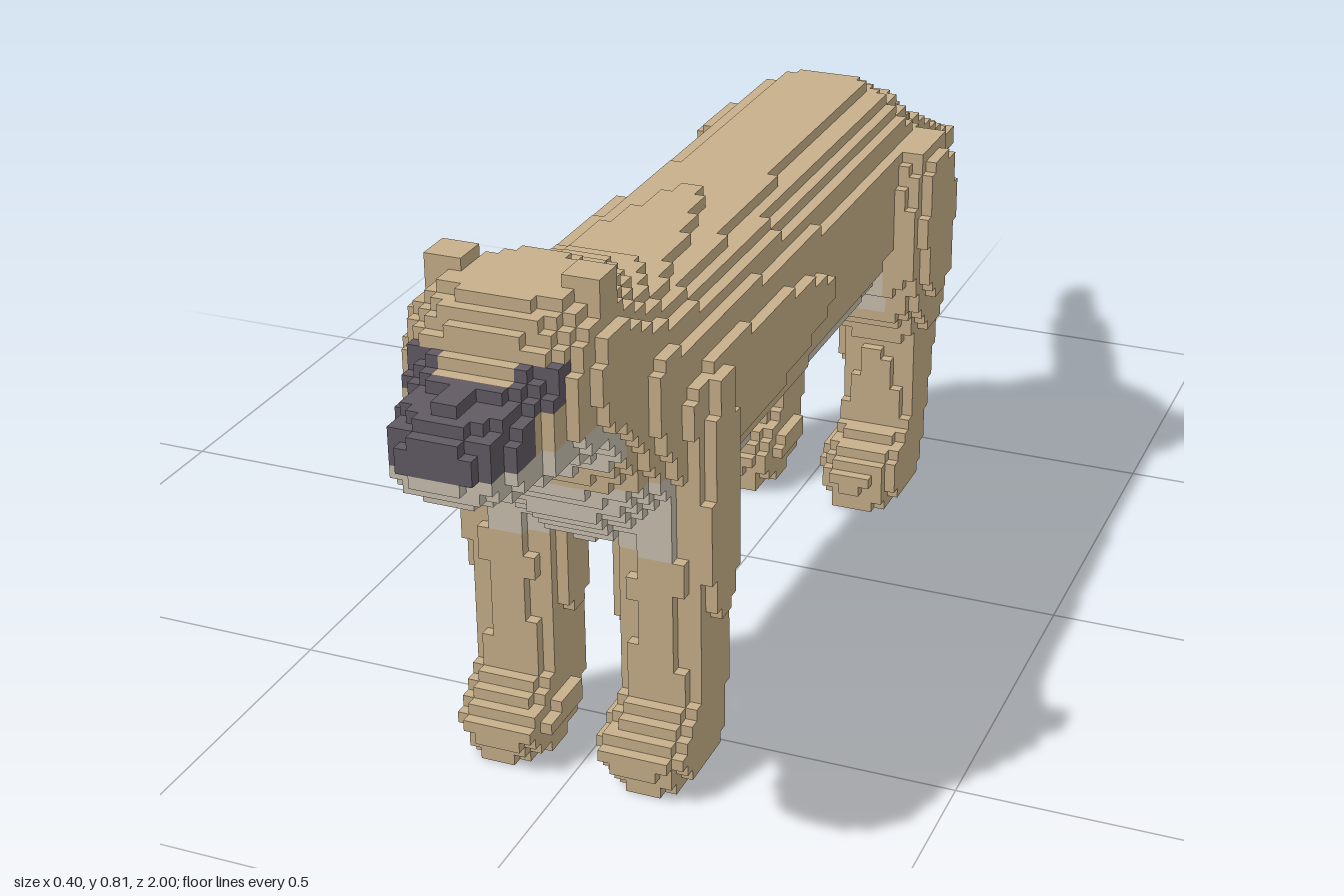
import * as THREE from 'three';

// Voxel grid: 24 x 48 x 119 cubes
const V = 2 / 119, NX = 24, NY = 48, NZ = 119;

// Interpolates a table of cross-sections by its first column
function section(table, t) {
  if (t < table[0][0] || t > table[table.length - 1][0]) return null;
  let i = 1;
  while (table[i][0] < t) i++;
  const a = table[i - 1], b = table[i], f = (t - a[0]) / (b[0] - a[0]);
  return a.map((v, k) => v + (b[k] - v) * f);
}
const superellipse = (a, b, n) => Math.abs(a) ** n + Math.abs(b) ** n <= 1;

// Sections along z: z, top, bottom, half width, squareness
const TRUNK = [
  [-0.49, 0.60, 0.53, 0.045, 2], [-0.45, 0.625, 0.46, 0.11, 2.2], [-0.41, 0.66, 0.40, 0.145, 2.3],
  [-0.34, 0.692, 0.355, 0.153, 2.3], [0, 0.692, 0.353, 0.157, 2.3], [0.3, 0.70, 0.348, 0.167, 2.3],
  [0.5, 0.712, 0.338, 0.17, 2.3], [0.6, 0.745, 0.345, 0.162, 2.1], [0.66, 0.772, 0.41, 0.148, 2.2],
  [0.7, 0.788, 0.475, 0.14, 2.4], [0.75, 0.795, 0.545, 0.137, 2.8], [0.8, 0.793, 0.558, 0.13, 3],
  [0.835, 0.782, 0.558, 0.112, 3], [0.865, 0.74, 0.558, 0.105, 3], [0.885, 0.71, 0.56, 0.09, 3],
  [0.92, 0.695, 0.565, 0.083, 3], [0.97, 0.69, 0.58, 0.07, 2.6], [1, 0.672, 0.61, 0.04, 2.4],
];
// Sections along y: y, front z, back z, inner x, outer x
const FRONT_LEG = [
  [0, 0.655, 0.54, 0.062, 0.152], [0.03, 0.67, 0.495, 0.048, 0.168], [0.06, 0.688, 0.493, 0.038, 0.17],
  [0.09, 0.655, 0.488, 0.042, 0.17], [0.12, 0.612, 0.485, 0.048, 0.17], [0.2, 0.607, 0.485, 0.042, 0.17],
  [0.3, 0.607, 0.485, 0.033, 0.187], [0.5, 0.605, 0.485, 0.033, 0.187], [0.58, 0.57, 0.50, 0.06, 0.182],
];
const HIND_LEG = [
  [0, -0.21, -0.365, 0.062, 0.152], [0.03, -0.203, -0.387, 0.048, 0.168], [0.06, -0.198, -0.392, 0.038, 0.17],
  [0.09, -0.22, -0.397, 0.042, 0.17], [0.12, -0.285, -0.407, 0.048, 0.17], [0.2, -0.30, -0.43, 0.042, 0.17],
  [0.27, -0.303, -0.447, 0.033, 0.174], [0.33, -0.265, -0.428, 0.033, 0.187], [0.4, -0.24, -0.428, 0.033, 0.203],
  [0.5, -0.235, -0.44, 0.03, 0.204], [0.56, -0.25, -0.42, 0.04, 0.203], [0.6, -0.27, -0.40, 0.06, 0.188],
];
// Tail sections: z, top, bottom, half width
const TAIL = [
  [-1, 0.388, 0.354, 0.017], [-0.95, 0.392, 0.354, 0.017], [-0.84, 0.445, 0.395, 0.018],
  [-0.83, 0.45, 0.40, 0.034], [-0.6, 0.55, 0.49, 0.034], [-0.44, 0.615, 0.54, 0.04],
];

function inTrunk(x, y, z) {
  const s = section(TRUNK, z);
  if (!s) return false;
  const [, top, bottom, w, n] = s;
  return superellipse(x / w, (2 * y - top - bottom) / (top - bottom), n);
}
function inLeg(table, x, y, z) {
  const s = section(table, y);
  if (!s) return false;
  const [, front, back, inner, outer] = s;
  return superellipse((2 * Math.abs(x) - inner - outer) / (outer - inner), (2 * z - front - back) / (front - back), 3);
}
function inTail(x, y, z) {
  const s = section(TAIL, z);
  return !!s && y < s[1] && y > s[2] && Math.abs(x) < s[3];
}
const inEar = (x, y, z) => Math.abs(x) > 0.067 && Math.abs(x) < 0.118 && y > 0.72 && y < 0.808 && z > 0.735 && z < 0.785;
const inNose = (x, y, z) => Math.abs(x) < 0.018 && y > 0.66 && y < 0.706 && z > 0.905 && z < 0.96;

// First part to claim a cube owns it
const PARTS = [
  ['leftEar', (x, y, z) => x > 0 && inEar(x, y, z)],
  ['rightEar', (x, y, z) => x < 0 && inEar(x, y, z)],
  ['nose', inNose],
  ['head', (x, y, z) => z > 0.66 && inTrunk(x, y, z)],
  ['torso', inTrunk],
  ['frontLeftLeg', (x, y, z) => x > 0 && inLeg(FRONT_LEG, x, y, z)],
  ['frontRightLeg', (x, y, z) => x < 0 && inLeg(FRONT_LEG, x, y, z)],
  ['hindLeftLeg', (x, y, z) => x > 0 && inLeg(HIND_LEG, x, y, z)],
  ['hindRightLeg', (x, y, z) => x < 0 && inLeg(HIND_LEG, x, y, z)],
  ['tail', inTail],
];

// Coat markings
function colourOf(part, x, y, z) {
  const ax = Math.abs(x);
  if (part === 'nose') return 'darkMask';
  if (part === 'head') {
    if (z > 0.905 && y > 0.622) return 'darkMask';
    if (z > 0.83 && ax > 0.05 && ax < 0.101 && y > 0.673 && y < 0.723) return 'darkMask';
    if (z > 0.72 && y < 0.622 && ax < 0.118) return 'paleFur';
  }
  if (part !== 'tail' && ax < 0.135 && y > 0.336 && y < 0.471) return 'paleFur';
  return 'tanFur';
}

export function createModel() {
  const group = new THREE.Group();
  const materials = {};
  for (const [name, color] of [['tanFur', 0xc8b08a], ['paleFur', 0xc9c1b0], ['darkMask', 0x625a64]]) {
    materials[name] = new THREE.MeshStandardMaterial({ color });
    materials[name].name = name;
  }

  // Fill the grid with part numbers
  const grid = new Int8Array(NX * NY * NZ).fill(-1);
  const at = (i, j, k) => (i < 0 || j < 0 || k < 0 || i >= NX || j >= NY || k >= NZ) ? -1 : grid[(k * NY + j) * NX + i];
  const centre = (i, j, k) => [(i + 0.5 - NX / 2) * V, (j + 0.5) * V, -1 + (k + 0.5) * V];
  const eachCell = (fn) => {
    for (let k = 0; k < NZ; k++) for (let j = 0; j < NY; j++) for (let i = 0; i < NX; i++) fn(i, j, k);
  };
  eachCell((i, j, k) => {
    const p = centre(i, j, k);
    grid[(k * NY + j) * NX + i] = PARTS.findIndex(([, inside]) => inside(...p));
  });

  // Collect the exposed cube faces for each part and colour
  const buckets = {};
  eachCell((i, j, k) => {
    const id = at(i, j, k);
    if (id < 0) return;
    const c = centre(i, j, k), part = PARTS[id][0], colour = colourOf(part, ...c);
    const b = ((buckets[part] ??= {})[colour] ??= { pos: [], nor: [], idx: [] });
    for (let axis = 0; axis < 3; axis++) for (const s of [-1, 1]) {
      const n = [0, 0, 0];
      n[axis] = s;
      if (at(i + n[0], j + n[1], k + n[2]) >= 0) continue;
      const u = (axis + 1) % 3, w = (axis + 2) % 3, base = b.pos.length / 3;
      for (const [du, dw] of [[-1, -1], [1, -1], [1, 1], [-1, 1]]) {
        const p = [...c];
        p[axis] += s * V / 2;
        p[u] += s * du * V / 2;
        p[w] += dw * V / 2;
        b.pos.push(...p);
        b.nor.push(...n);
      }
      b.idx.push(base, base + 1, base + 2, base, base + 2, base + 3);
    }
  });

  // One group per part, one mesh per colour
  for (const [part, colours] of Object.entries(buckets)) {
    const partGroup = new THREE.Group();
    partGroup.name = part;
    for (const [colour, b] of Object.entries(colours)) {
      if (!b.idx.length) continue;
      const geo = new THREE.BufferGeometry();
      geo.setAttribute('position', new THREE.Float32BufferAttribute(b.pos, 3));
      geo.setAttribute('normal', new THREE.Float32BufferAttribute(b.nor, 3));
      geo.setIndex(b.idx);
      const mesh = new THREE.Mesh(geo, materials[colour]);
      mesh.name = `${part} ${colour}`;
      partGroup.add(mesh);
    }
    group.add(partGroup);
  }
  return group;
}
